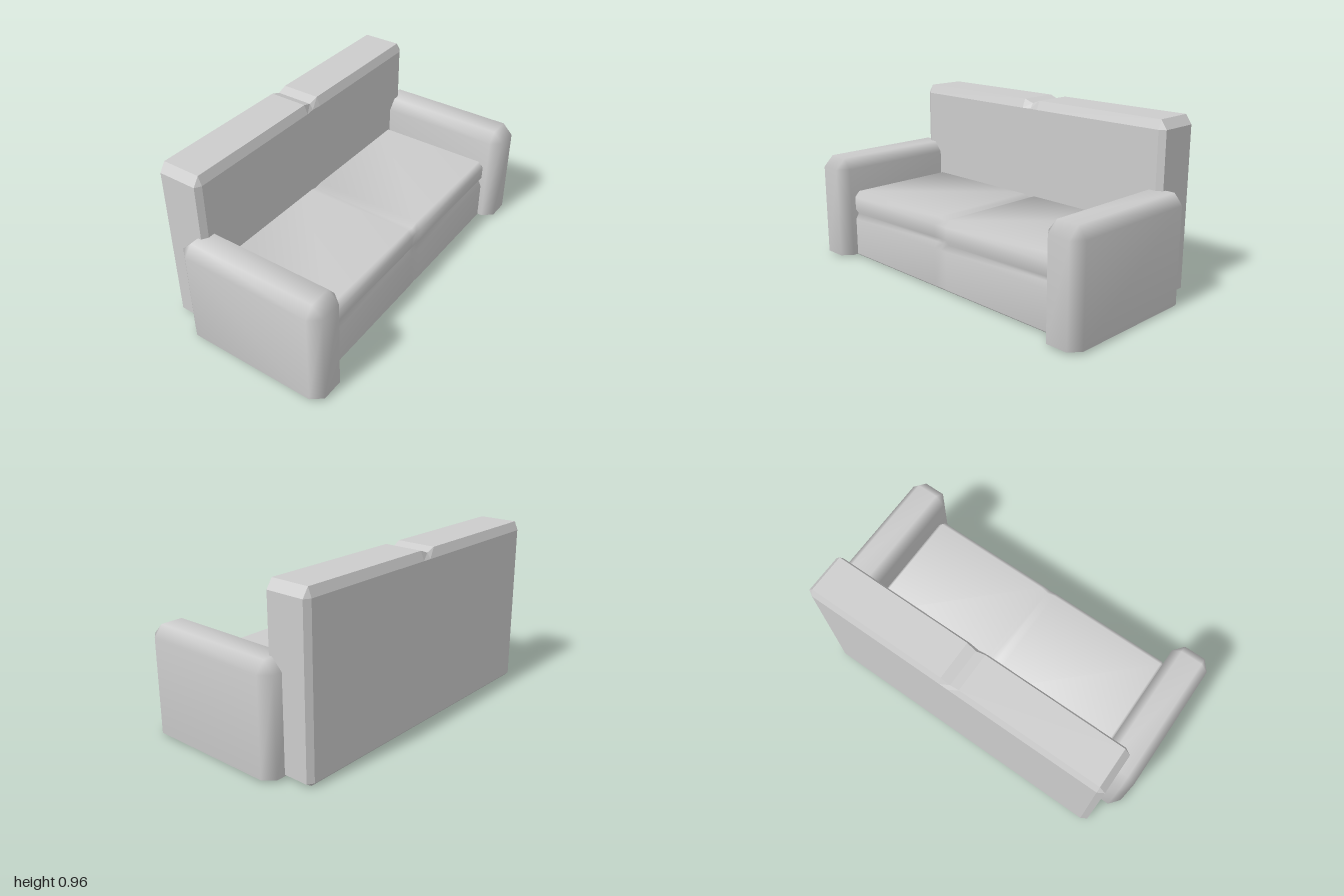
import * as THREE from 'three';
import { mergeVertices } from 'three/addons/utils/BufferGeometryUtils.js';

const fabric = new THREE.MeshStandardMaterial({ color: 0xcccccc });
fabric.name = 'greyFabric';
const flatFabric = fabric;

// Skins a row of [x, [[z, y], ...]] cross-sections, ordered by rising x, and caps both ends
function loft(sections, smooth) {
  const n = sections[0][1].length, last = sections.length - 1, pos = [];
  const point = (i, j) => {
    const [z, y] = sections[i][1][j % n];
    return [sections[i][0], y, z];
  };
  const same = (a, b) => a.every((v, k) => Math.abs(v - b[k]) < 1e-6);
  const tri = (a, b, c) => {
    if (!same(a, b) && !same(b, c) && !same(a, c)) pos.push(...a, ...b, ...c);
  };
  for (let i = 0; i < last; i++) {
    for (let j = 0; j < n; j++) {
      const a = point(i, j), b = point(i, j + 1), c = point(i + 1, j + 1), d = point(i + 1, j);
      tri(a, d, c);
      tri(a, c, b);
    }
  }
  for (let j = 1; j < n - 1; j++) {
    tri(point(0, 0), point(0, j), point(0, j + 1));
    tri(point(last, 0), point(last, j + 1), point(last, j));
  }
  let geo = new THREE.BufferGeometry();
  geo.setAttribute('position', new THREE.Float32BufferAttribute(pos, 3));
  if (smooth) geo = mergeVertices(geo, 1e-4);
  geo.computeVertexNormals();
  return geo;
}

// Rectangle with cut corners in the z-y plane
const octagon = (z0, z1, y0, y1, cz, low, high) => [
  [z1 - cz, y0], [z1, y0 + low], [z1, y1 - high], [z1 - cz, y1],
  [z0 + cz, y1], [z0, y1 - high], [z0, y0 + low], [z0 + cz, y0],
];

// The same rectangle pulled in to the cut, for the end faces
const inset = (z0, z1, y0, y1, cz, low, high) =>
  octagon(z0, z1, y0, y1, cz, low, high).map(([z, y]) => [
    THREE.MathUtils.clamp(z, z0 + cz, z1 - cz),
    THREE.MathUtils.clamp(y, y0 + low, y1 - high),
  ]);

export function createModel() {
  const sofa = new THREE.Group();
  sofa.name = 'sofa';
  const add = (name, geo) => {
    const mesh = new THREE.Mesh(geo, flatFabric);
    mesh.name = name;
    sofa.add(mesh);
  };

  // Softly shaded armrests
  const arm = [-0.35, 0.51, 0, 0.6, 0.06, 0.012, 0.06];
  for (const [name, x0, x1] of [['leftArm', 0.78, 1], ['rightArm', -1, -0.78]]) {
    add(name, loft([
      [x0, inset(...arm)], [x0 + 0.048, octagon(...arm)],
      [x1 - 0.048, octagon(...arm)], [x1, inset(...arm)],
    ], true));
  }

  // Faceted backrest with a shallow seam in the middle
  const back = [-0.51, -0.25, 0, 0.96, 0.02, 0.02, 0.05];
  const seam = octagon(-0.51, -0.256, 0, 0.94, 0.02, 0.02, 0.03);
  add('backrest', loft([
    [-0.9, inset(...back)], [-0.866, octagon(...back)], [-0.055, octagon(...back)],
    [0, seam],
    [0.055, octagon(...back)], [0.866, octagon(...back)], [0.9, inset(...back)],
  ], false));

  // Seat: base and cushion in one soft profile, with a groove along the front
  const seat = (top, cut) => [
    [0.41, 0.005], [0.43 - cut, 0.022], [0.43 - cut, 0.235], [0.41 - cut, 0.268],
    [0.43 - cut, 0.3], [0.43 - cut, 0.37], [0.4 - cut, top], [-0.3, top], [-0.3, 0.005],
  ];
  add('seat', loft([
    [-0.785, seat(0.39, 0.014)], [-0.765, seat(0.405, 0)], [-0.045, seat(0.405, 0)],
    [0, seat(0.39, 0.003)],
    [0.045, seat(0.405, 0)], [0.765, seat(0.405, 0)], [0.785, seat(0.39, 0.014)],
  ], true));

  return sofa;
}
